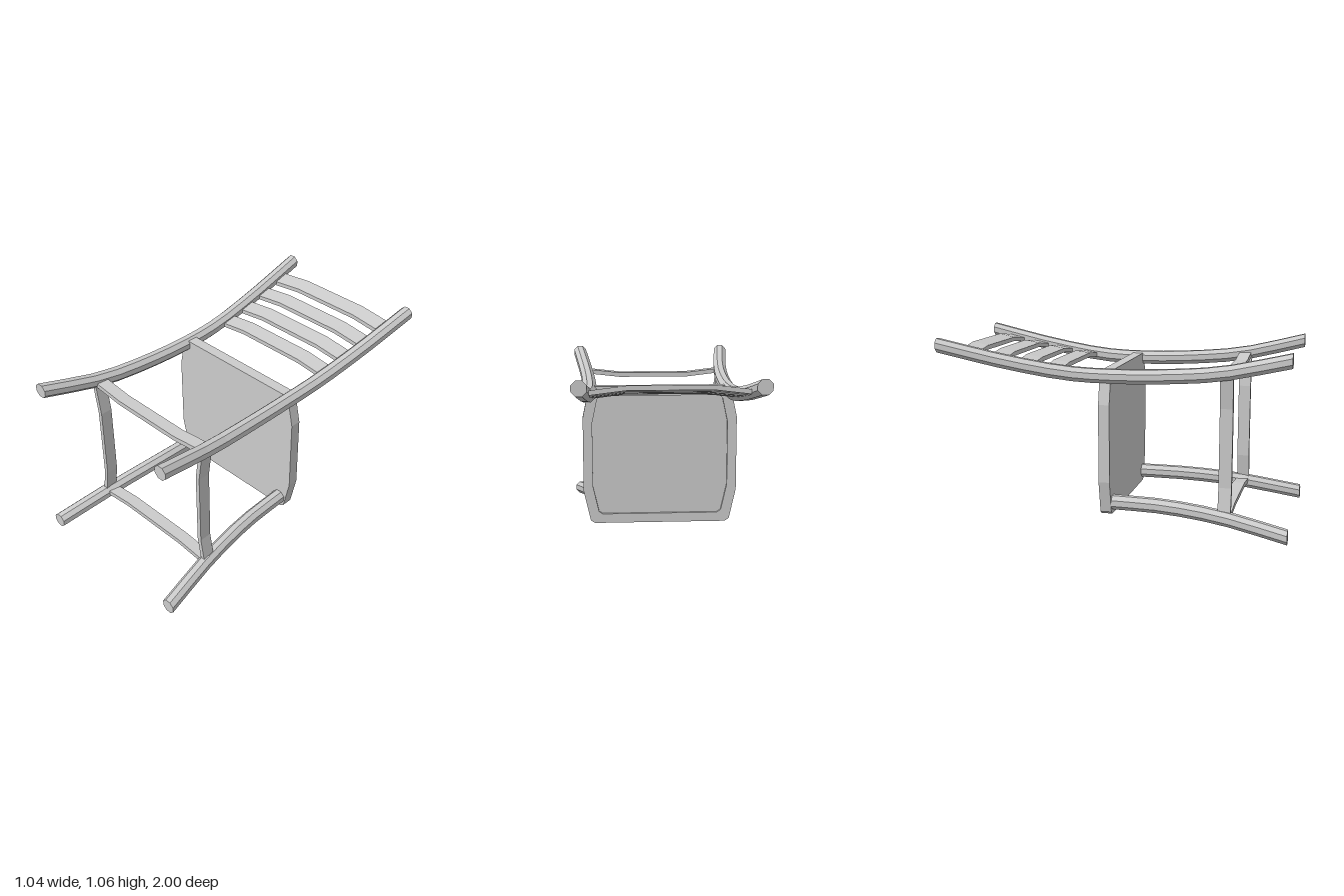
import * as THREE from 'three';

const material = new THREE.MeshStandardMaterial({ color: 0xcccccc, flatShading: true });
const V = (x, y, z) => new THREE.Vector3(x, y, z);

// Closed solid through rings of points, each ring counter-clockwise seen from the far end
function loft(rings) {
  const n = rings[0].length, last = (rings.length - 1) * n, index = [];
  for (let i = 0; i < rings.length - 1; i++) {
    for (let j = 0; j < n; j++) {
      const a = i * n + j, b = i * n + (j + 1) % n;
      index.push(a, b, b + n, a, b + n, a + n);
    }
  }
  for (let j = 1; j < n - 1; j++) {
    index.push(0, j + 1, j, last, last + j, last + j + 1);
  }
  const geometry = new THREE.BufferGeometry().setFromPoints(rings.flat());
  geometry.setIndex(index);
  const flat = geometry.toNonIndexed();
  flat.computeVertexNormals();
  return flat;
}

// Octagonal rod following a curve that runs towards +z
function rod(curve, segments, radius = 0.043) {
  return loft(curve.getPoints(segments).map((p) =>
    Array.from({ length: 8 }, (_, k) => {
      const a = (k + 0.5) * Math.PI / 4;
      return V(p.x + radius * Math.cos(a), p.y + radius * Math.sin(a), p.z);
    })));
}

const curveOf = (points, side) =>
  new THREE.CatmullRomCurve3(points.map(([x, y, z]) => V(side * x, y, z)));

// Side 1 paths, from the upper end to the foot
const rearPath = [[0.458, 1.025, -1], [0.434, 0.94, -0.6], [0.415, 0.886, -0.25], [0.411, 0.876, 0],
  [0.418, 0.885, 0.3], [0.437, 0.915, 0.62], [0.481, 1.002, 1]];
const frontPath = [[0.377, 0.15, -0.01], [0.388, 0.145, 0.3], [0.422, 0.116, 0.62], [0.481, 0.047, 1]];

// Height of the rear post at a given z
function postY(z) {
  const k = rearPath.findIndex((p) => p[2] >= z);
  const [, y0, z0] = rearPath[k - 1], [, y1, z1] = rearPath[k];
  const t = (z - z0) / (z1 - z0);
  return y0 + (y1 - y0) * t - 0.15 * (z - z0) * (z1 - z);
}

// Bar across x; yAt(z) sets its height, bow shifts the middle
function crossBar(yAt, z, half, thick, endShift, midShift) {
  const section = [[-thick, -half], [thick, -half], [thick, half], [-thick, half]];
  return loft([[-0.41, endShift], [-0.22, midShift], [0.22, midShift], [0.41, endShift]].map(([x, s]) =>
    section.map(([dy, dz]) => V(x, yAt(z + dz) + s + dy, z + dz))));
}

// Bar along y on one side, its middle bowed inward
function sideBar(side) {
  const half = 0.036, thick = 0.0125;
  const section = [[-half, -thick], [half, -thick], [half, thick], [-half, thick]];
  return loft([[0.12, 0.428], [0.28, 0.402], [0.72, 0.402], [0.9, 0.428]].map(([y, x]) =>
    section.map(([dz, dx]) => V(side * x + dx, y, 0.648 + dz))));
}

// Seat outline in x and y, shrunk inward by an inset
function seatPoints(inset) {
  const half = [[0.39, 0.083], [0.415, 0.1], [0.455, 0.28], [0.455, 0.72], [0.42, 0.885], [0.395, 0.905]];
  const cy = 0.494, sx = 1 - inset / 0.455, sy = 1 - inset / 0.411;
  const right = half.map(([x, y]) => new THREE.Vector2(x * sx, cy + (y - cy) * sy));
  return [...right, ...right.map((p) => new THREE.Vector2(-p.x, p.y)).reverse()];
}

function slab(outline, hole, z, depth) {
  const shape = new THREE.Shape(outline);
  if (hole) shape.holes.push(new THREE.Path(hole));
  return new THREE.ExtrudeGeometry(shape, { depth, bevelEnabled: false }).translate(0, 0, z);
}

export function createModel() {
  const model = new THREE.Group();
  const add = (name, geometry) => {
    const mesh = new THREE.Mesh(geometry, material);
    mesh.name = name;
    model.add(mesh);
  };

  // Posts, legs and side stretchers, mirrored
  for (const [word, side] of [['left', 1], ['right', -1]]) {
    add(`${word}RearPost`, rod(curveOf(rearPath, side), 14));
    add(`${word}FrontLeg`, rod(curveOf(frontPath, side), 7));
    add(`${word}SideStretcher`, sideBar(side));
  }

  // Front and rear stretchers, both bowed inward
  add('frontStretcher', crossBar(() => 0.115, 0.645, 0.036, 0.0135, 0, 0.02));
  add('rearStretcher', crossBar(() => 0.912, 0.645, 0.036, 0.0135, 0, -0.022));

  // Backrest slats, bowed away from the sitter and following the posts
  [-0.835, -0.668, -0.505, -0.34].forEach((z, i) =>
    add(`backSlat${i + 1}`, crossBar(postY, z, 0.046, 0.0125, -0.008, 0.015)));

  // Seat: a base with a raised rim around a sunken panel
  add('seatBase', slab(seatPoints(0), null, -0.042, 0.047));
  add('seatRim', slab(seatPoints(0), seatPoints(0.055), -0.058, 0.016));
  return model;
}
